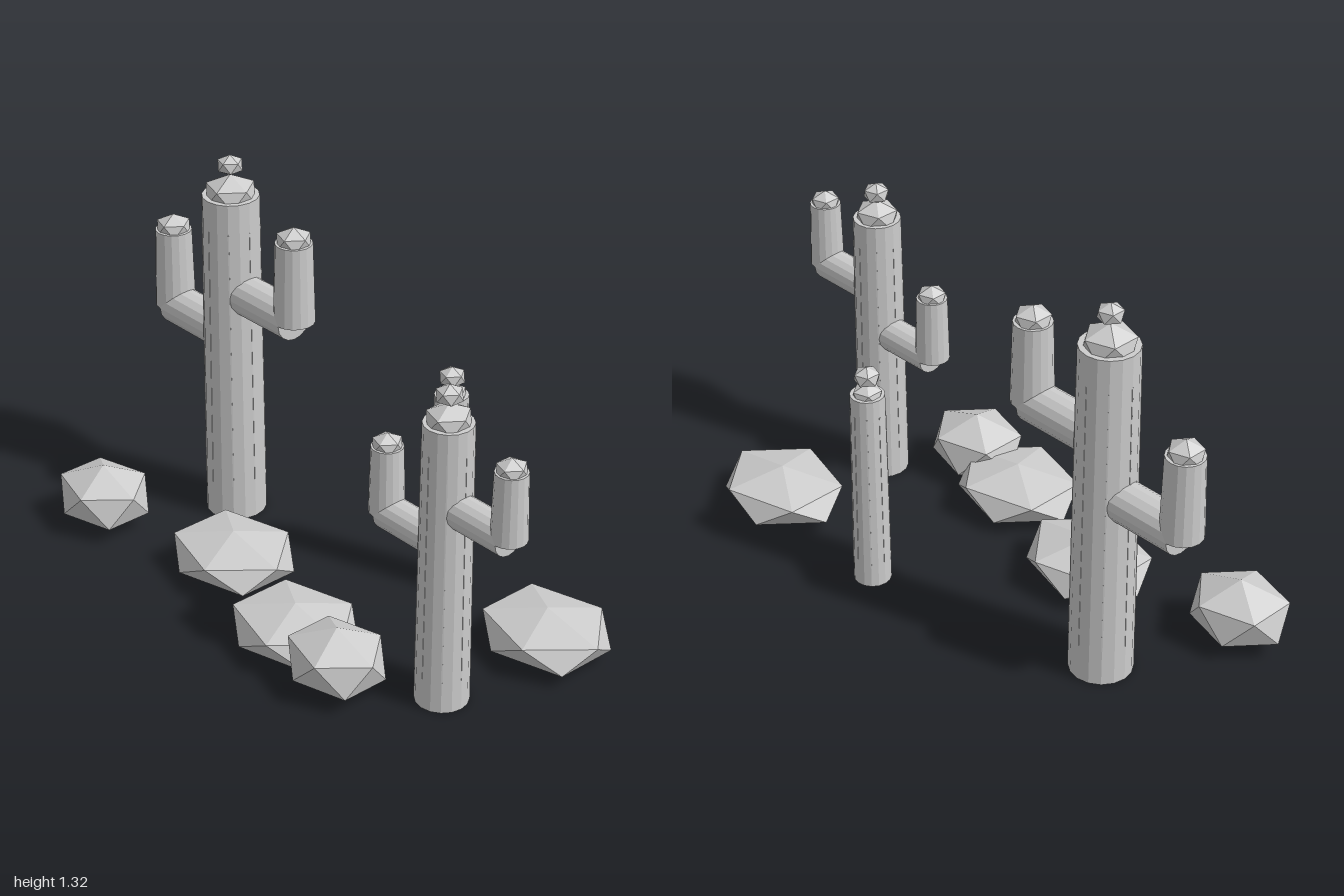
import * as THREE from 'three';
import { ConvexGeometry } from 'three/addons/geometries/ConvexGeometry.js';

const SIDES = 16;
const stone = new THREE.MeshStandardMaterial({ color: 0xcccccc, flatShading: true });
stone.name = 'paleGrey';

// Upright icosahedron: two poles and two staggered rings of five
function icoGeometry() {
  const pts = [new THREE.Vector3(0, 1, 0), new THREE.Vector3(0, -1, 0)];
  for (let i = 0; i < 5; i++) {
    const a = (i * Math.PI * 2) / 5, r = 0.894;
    pts.push(new THREE.Vector3(r * Math.cos(a), 0.447, r * Math.sin(a)));
    pts.push(new THREE.Vector3(-r * Math.cos(a), -0.447, r * Math.sin(a)));
  }
  return new ConvexGeometry(pts);
}
const ico = icoGeometry();

function add(parent, name, geometry, x, y, z) {
  const mesh = new THREE.Mesh(geometry, stone);
  mesh.name = name;
  mesh.position.set(x, y, z);
  parent.add(mesh);
  return mesh;
}

function knob(parent, name, x, y, z, rx, ry, rz = rx) {
  return add(parent, name, ico, x, y, z).scale.set(rx, ry, rz);
}

function column(parent, name, x, y0, y1, r0, r1) {
  return add(parent, name, new THREE.CylinderGeometry(r1, r0, y1 - y0, SIDES), x, (y0 + y1) / 2, 0);
}

// Slim ribs lying almost flush on the tapered trunk
function ribs(parent, c) {
  const len = c.height * 0.8, mid = c.height * 0.51;
  const r = c.r0 + (c.r1 - c.r0) * 0.51;
  const tilt = Math.atan2(c.r0 - c.r1, c.height);
  for (let i = 0; i < 8; i++) {
    const a = (i * Math.PI) / 4;
    const rib = add(parent, 'rib', new THREE.BoxGeometry(0.004, len, 0.004), r * Math.sin(a), mid, r * Math.cos(a));
    rib.rotation.set(-tilt, a, 0, 'YXZ');
    rib.translateZ(-0.001);
  }
}

// Elbowed arm: horizontal branch, upright tip and pointed cap
function arm(parent, { dx, y, top, r }) {
  const g = new THREE.Group();
  g.name = dx < 0 ? 'rightArm' : 'leftArm';
  parent.add(g);
  const branch = add(g, 'armBranch', new THREE.CylinderGeometry(r, r, Math.abs(dx), SIDES), dx / 2, y, 0);
  branch.rotation.z = Math.PI / 2;
  column(g, 'armTip', dx, y, top, r, r * 0.9);
  knob(g, 'armCap', dx, top + r * 0.08, 0, r * 0.92, r * 0.7);
}

function cactus(c) {
  const g = new THREE.Group();
  g.name = c.name;
  g.position.set(c.x, 0, c.z);
  column(g, 'trunk', 0, 0, c.height, c.r0, c.r1);
  ribs(g, c);
  knob(g, 'trunkCap', 0, c.capY, 0, c.capR, c.capH);
  knob(g, 'flower', 0, c.flowerY, 0, 0.046, 0.036);
  (c.arms || []).forEach((a) => arm(g, a));
  return g;
}

export function createModel() {
  const model = new THREE.Group();
  model.name = 'desertCacti';

  [
    {
      name: 'tallCactus', x: -0.62, z: -0.125, height: 1.18, r0: 0.104, r1: 0.095,
      capY: 1.183, capR: 0.092, capH: 0.067, flowerY: 1.283,
      arms: [
        { dx: -0.31, y: 0.665, top: 0.945, r: 0.069 },
        { dx: 0.315, y: 0.84, top: 1.12, r: 0.069 },
      ],
    },
    {
      name: 'mediumCactus', x: 0.677, z: 0.123, height: 0.98, r0: 0.087, r1: 0.079,
      capY: 0.987, capR: 0.077, capH: 0.056, flowerY: 1.07,
      arms: [
        { dx: -0.262, y: 0.557, top: 0.785, r: 0.057 },
        { dx: 0.262, y: 0.702, top: 0.93, r: 0.057 },
      ],
    },
    {
      name: 'smallCactus', x: 0.217, z: -0.335, height: 0.71, r0: 0.062, r1: 0.056,
      capY: 0.708, capR: 0.053, capH: 0.04, flowerY: 0.773,
    },
  ].forEach((c) => model.add(cactus(c)));

  // Rocks: x, z, radius along x, height, radius along z
  [
    [-0.825, 0.288, 0.185, 0.225, 0.16],
    [-0.283, 0.163, 0.246, 0.167, 0.21],
    [0.175, 0.287, 0.246, 0.167, 0.21],
    [0.427, 0.335, 0.185, 0.225, 0.16],
    [0.716, -0.294, 0.246, 0.167, 0.21],
  ].forEach(([x, z, rx, h, rz]) => knob(model, 'rock', x, h / 2, z, rx, h / 2, rz));

  return model;
}
